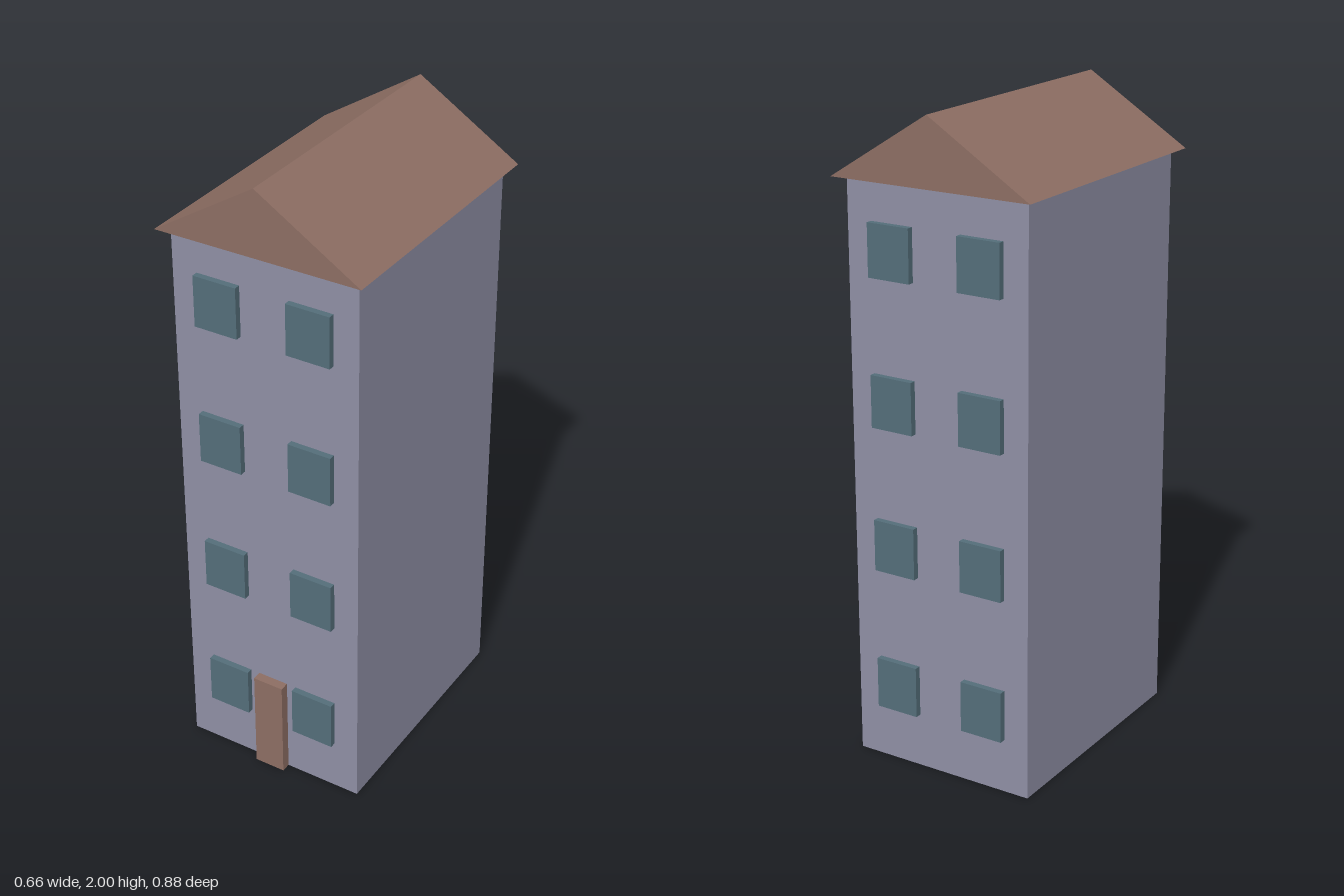
import * as THREE from 'three';

export function createModel() {
  const house = new THREE.Group();
  house.name = 'townHouse';

  const material = (name, color) => {
    const m = new THREE.MeshStandardMaterial({ color });
    m.name = name;
    return m;
  };
  const wall = material('wall grey', 0x8f8fa5);
  const brown = material('roof and door brown', 0x8d6e63);
  const glass = material('window blue grey', 0x546e7a);

  const addBox = (name, mat, [w, h, d], [x, y, z]) => {
    const mesh = new THREE.Mesh(new THREE.BoxGeometry(w, h, d), mat);
    mesh.name = name;
    mesh.position.set(x, y, z);
    house.add(mesh);
  };

  // Tall plain body
  const wallHeight = 1.795;
  addBox('walls', wall, [0.6, wallHeight, 0.8], [0, wallHeight / 2, 0]);

  // Gabled roof: a solid triangular prism overhanging every side
  const gable = new THREE.Shape([
    new THREE.Vector2(-0.328, wallHeight),
    new THREE.Vector2(0.328, wallHeight),
    new THREE.Vector2(0, 2),
  ]);
  const depth = 0.877;
  const roofGeometry = new THREE.ExtrudeGeometry(gable, { depth, bevelEnabled: false });
  roofGeometry.translate(0, 0, -depth / 2);
  const roof = new THREE.Mesh(roofGeometry, brown);
  roof.name = 'roof';
  house.add(roof);

  // Two windows per floor, front and back
  for (const side of [1, -1]) {
    for (let floor = 0; floor < 4; floor++) {
      for (const x of [-0.15, 0.15]) {
        addBox(side > 0 ? 'frontWindow' : 'backWindow', glass,
          [0.14, 0.16, 0.02], [x, 0.25 + floor * 0.448, side * 0.41]);
      }
    }
  }

  // Front door
  addBox('door', brown, [0.1, 0.33, 0.03], [0, 0.165, 0.415]);

  return house;
}
